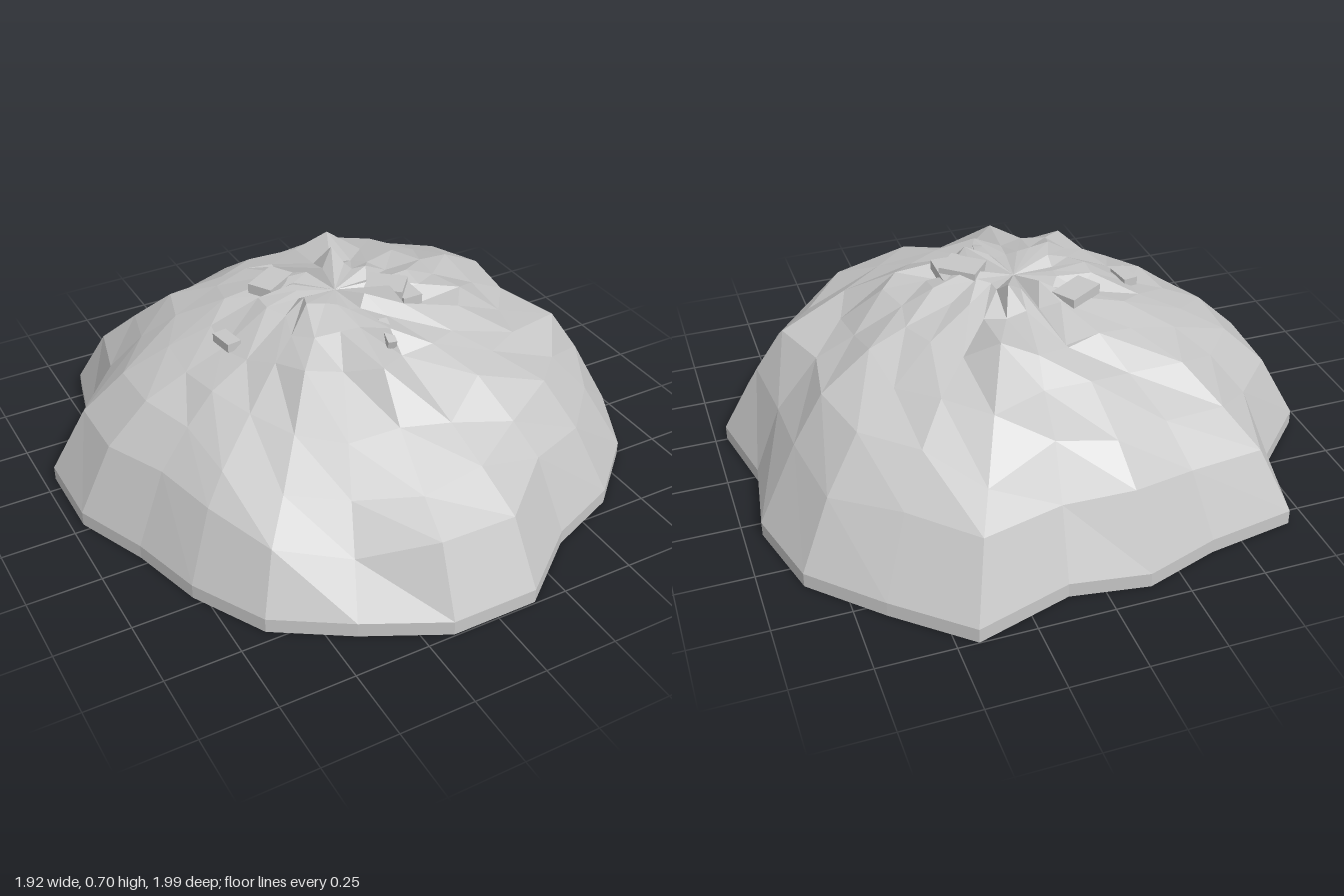
import * as THREE from 'three';

// Radius of the footprint on each of 22 evenly spaced spokes, from +x towards +z
const OUTLINE = [0.91, 1.01, 1.0, 0.97, 0.92, 1.035, 1.035, 0.98, 0.98, 0.92, 0.88,
  0.95, 0.99, 0.89, 1.03, 0.91, 0.92, 0.88, 1.065, 1.02, 1.04, 0.99];
const SPOKES = OUTLINE.length;
const CX = -0.01, CZ = -0.03;

// Each ring: fraction of the outline, height, radial and vertical roughness
const RINGS = [
  [1, 0, 0, 0],
  [1, 0.05, 0, 0],
  [0.87, 0.28, 0.015, 0.015],
  [0.74, 0.41, 0.02, 0.02],
  [0.58, 0.5, 0.03, 0.02],
  [0.42, 0.575, 0.03, 0.02],
  [0.27, 0.62, 0.04, 0.02],
  [0.14, 0.65, 0.02, 0.02],
];

// Gullies and ledges: 'ring,spoke' -> [radius, height]
const FEATURES = {
  // right side
  '2,0': [0.82, 0.28], '3,0': [0.68, 0.45], '4,0': [0.55, 0.51],
  '2,21': [0.85, 0.3], '3,21': [0.74, 0.45], '4,21': [0.56, 0.55],
  '2,1': [0.88, 0.29], '3,1': [0.78, 0.44], '3,2': [0.74, 0.4], '6,2': [0.25, 0.58], '7,2': [0.14, 0.61],
  // front
  '3,3': [0.73, 0.44], '2,4': [0.81, 0.3], '3,4': [0.71, 0.4], '4,4': [0.57, 0.52],
  '2,5': [0.92, 0.265], '3,5': [0.76, 0.36], '4,5': [0.61, 0.44], '5,5': [0.36, 0.56],
  '2,6': [0.92, 0.27], '3,6': [0.78, 0.34], '4,6': [0.58, 0.46],
  // front left terraces
  '2,7': [0.86, 0.2], '3,7': [0.73, 0.32], '4,7': [0.6, 0.44],
  '2,8': [0.88, 0.24], '3,8': [0.73, 0.33], '4,8': [0.58, 0.45],
  '3,9': [0.72, 0.36], '4,9': [0.55, 0.47],
  // side
  '2,10': [0.77, 0.29], '4,11': [0.55, 0.48], '5,11': [0.42, 0.53], '5,12': [0.42, 0.55], '5,10': [0.4, 0.54],
  // back corners
  '2,14': [0.91, 0.25], '3,13': [0.67, 0.42], '3,14': [0.77, 0.37], '4,14': [0.62, 0.49],
  '3,18': [0.8, 0.36], '4,18': [0.62, 0.5], '5,18': [0.42, 0.63],
  // summit notch and crests
  '6,16': [0.36, 0.56], '7,16': [0.18, 0.6],
  '7,5': [0.14, 0.63], '7,3': [0.19, 0.69], '7,18': [0.18, 0.7], '7,9': [0.19, 0.68],
};

function seeded(seed) {
  return () => {
    seed = (seed * 16807) % 2147483647;
    return (seed / 2147483647) * 2 - 1;
  };
}

function moundGeometry() {
  const rnd = seeded(4217);
  const rings = RINGS.map(([f, h, dr, dh], k) => OUTLINE.map((r, i) => {
    const a = (i / SPOKES) * Math.PI * 2;
    // The footprint's irregularity fades towards the summit
    const base = f * THREE.MathUtils.lerp(0.96, r, Math.min(1, f + 0.15));
    let radius = base + rnd() * dr, y = h + rnd() * dh;
    const feature = FEATURES[`${k},${i}`];
    if (feature) [radius, y] = feature;
    return [CX + Math.cos(a) * radius, y, CZ + Math.sin(a) * radius];
  }));
  const pos = [];
  const tri = (...pts) => pts.forEach((p) => pos.push(...p));
  const summit = [CX, 0.635, CZ], floor = [CX, 0, CZ];
  for (let i = 0; i < SPOKES; i++) {
    const j = (i + 1) % SPOKES;
    for (let k = 0; k < rings.length - 1; k++) {
      const lo = rings[k], hi = rings[k + 1];
      tri(lo[i], hi[i], hi[j]);
      tri(lo[i], hi[j], lo[j]);
    }
    const top = rings[rings.length - 1];
    tri(top[i], summit, top[j]);
    tri(floor, rings[0][i], rings[0][j]);
  }
  const g = new THREE.BufferGeometry();
  g.setAttribute('position', new THREE.Float32BufferAttribute(pos, 3));
  g.computeVertexNormals();
  return g;
}

export function createModel() {
  const group = new THREE.Group();
  group.name = 'rockMound';
  const stone = new THREE.MeshStandardMaterial({ color: 0xc6c6c6 });
  stone.name = 'grey stone';

  const mound = new THREE.Mesh(moundGeometry(), stone);
  mound.name = 'mound';
  group.add(mound);

  // Loose slabs near the summit: size, position, yaw, tilt
  const slabs = [
    [0.14, 0.035, 0.09, -0.17, 0.625, -0.19, 0.55, 0],
    [0.13, 0.035, 0.11, 0.14, 0.645, 0.05, -0.7, 0],
    [0.07, 0.035, 0.15, 0.19, 0.625, 0.07, 0, 0],
    [0.05, 0.03, 0.09, -0.41, 0.555, -0.03, 0.15, 0],
    [0.03, 0.03, 0.11, 0.03, 0.605, 0.25, -0.2, 0.25],
  ];
  for (const [w, h, d, x, y, z, yaw, tilt] of slabs) {
    const slab = new THREE.Mesh(new THREE.BoxGeometry(w, h, d), stone);
    slab.name = 'looseSlab';
    slab.position.set(x, y, z);
    slab.rotation.set(tilt, yaw, 0, 'YXZ');
    group.add(slab);
  }
  return group;
}
